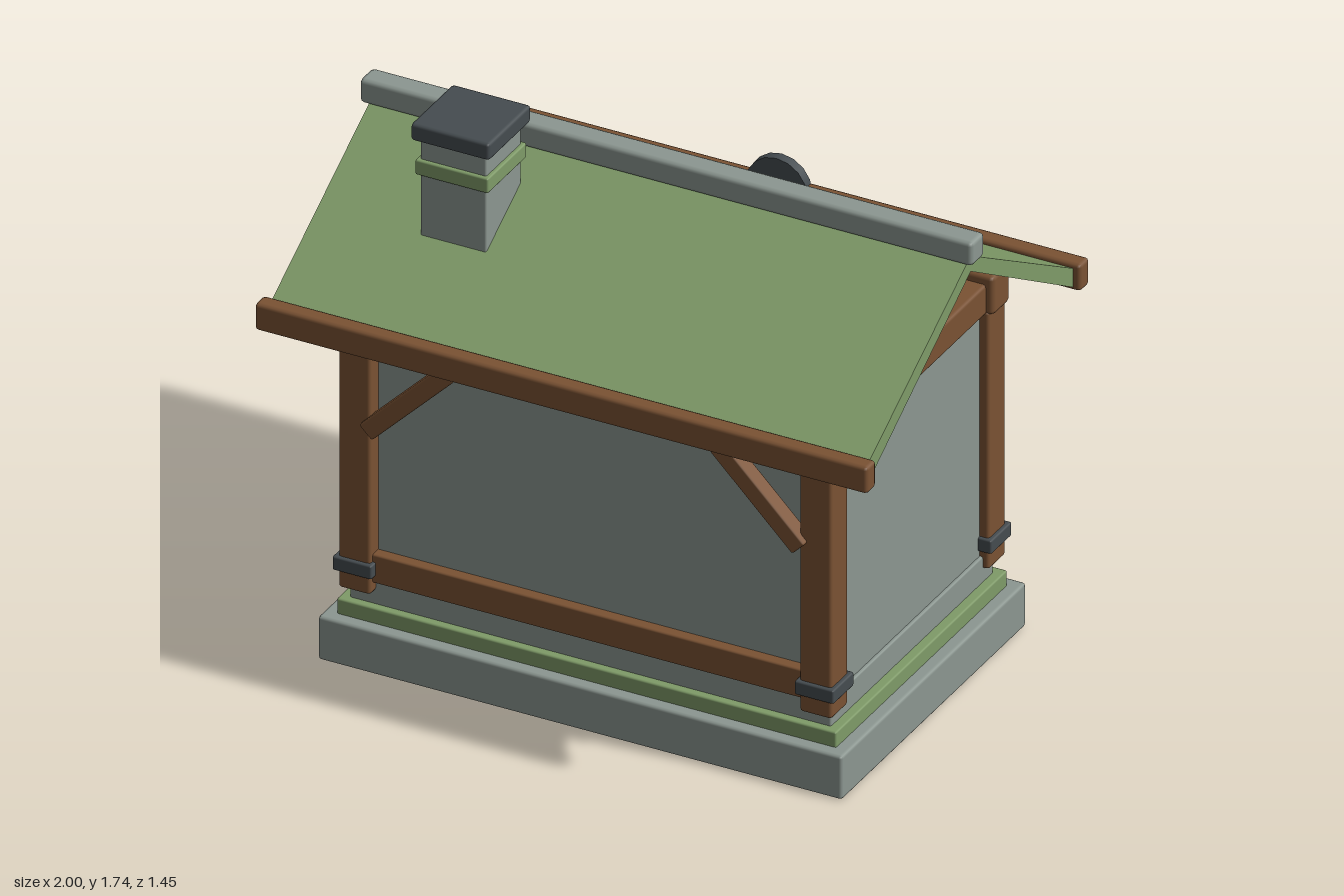
import * as THREE from 'three';
import { RoundedBoxGeometry } from 'three/addons/geometries/RoundedBoxGeometry.js';

const mat = (color) => new THREE.MeshStandardMaterial({ color });

export function createModel() {
  const house = new THREE.Group();
  house.name = 'cottage';
  const stone = mat(0x8c9791), green = mat(0x7f9b68), wood = mat(0x7a5233);
  const iron = mat(0x454c50), amber = mat(0xb0502a);
  const MID = 0.045; // z of the ridge line

  const add = (name, geometry, material, x = 0, y = 0, z = 0) => {
    const mesh = new THREE.Mesh(geometry, material);
    mesh.name = name;
    mesh.position.set(x, y, z);
    house.add(mesh);
    return mesh;
  };
  // Box given by its extents, with softly bevelled edges
  const box = (name, material, [x0, x1], [y0, y1], [z0, z1], bevel = 0.006) => {
    const w = x1 - x0, h = y1 - y0, d = z1 - z0;
    const r = Math.min(bevel, Math.min(w, h, d) * 0.3);
    return add(name, new RoundedBoxGeometry(w, h, d, 1, r), material, (x0 + x1) / 2, (y0 + y1) / 2, (z0 + z1) / 2);
  };
  // Extents mirrored to the other side when s is -1
  const side = (s, a, b) => (s > 0 ? [a, b] : [-b, -a]);
  // Extents measured outward from the ridge line
  const depth = (s, a, b) => (s > 0 ? [MID + a, MID + b] : [MID - b, MID - a]);

  // Base and walls
  box('foundation', stone, [-0.855, 0.855], [0, 0.145], [-0.52, 0.61], 0.01);
  box('mossBand', green, [-0.815, 0.815], [0.14, 0.195], [-0.48, 0.57]);
  box('plinth', stone, [-0.785, 0.785], [0.19, 0.28], [-0.45, 0.545]);
  box('walls', stone, [-0.775, 0.775], [0.27, 1.12], [-0.435, 0.53]);
  box('lowerStep', stone, [-0.225, 0.225], [0.005, 0.055], [-0.725, -0.5]);
  box('stepMoss', green, [-0.2, 0.2], [0.05, 0.085], [-0.69, -0.5]);

  // Timber frame, the same on the front and the back
  for (const f of [1, -1]) {
    box('topPlate', wood, [-0.82, 0.82], [1.09, 1.22], depth(f, 0.43, 0.535), 0.015);
    box('eaveBeam', wood, [-1, 1], [1.12, 1.21], depth(f, 0.625, 0.682), 0.012);
    for (const s of [1, -1]) {
      box('cornerPost', wood, side(s, 0.7, 0.805), [0.24, 1.1], depth(f, 0.43, 0.535), 0.01);
      box('postBand', iron, side(s, 0.69, 0.818), [0.3, 0.346], depth(f, 0.42, 0.547));
      const brace = box('cornerBrace', wood, [-0.19, 0.19], [-0.029, 0.029], depth(f, 0.5, 0.555));
      brace.position.x = s * 0.572;
      brace.position.y = 0.926;
      brace.rotation.z = -s * Math.PI / 4;
    }
  }
  box('frontSill', wood, [-0.71, 0.71], [0.275, 0.37], [0.48, 0.565]);
  for (const s of [1, -1]) {
    box('backSill', wood, side(s, 0.25, 0.71), [0.275, 0.37], [-0.475, -0.4]);
    box('gableBeam', wood, side(s, 0.7, 0.795), [1.09, 1.19], [-0.4, 0.49], 0.01);
  }

  // Roof: one folded sheet with open gables
  const fold = new THREE.Shape([
    [0, 1.56], [-0.655, 1.177], [-0.627, 1.13], [0, 1.508], [0.627, 1.13], [0.655, 1.177],
  ].map(([z, y]) => new THREE.Vector2(z, y)));
  const roof = new THREE.ExtrudeGeometry(fold, { depth: 1.95, bevelEnabled: false });
  roof.translate(0, 0, -0.975).rotateY(Math.PI / 2);
  add('roof', roof, green, 0, 0, MID);
  box('ridgeCap', stone, [-1, 1], [1.547, 1.627], [0.005, 0.085], 0.014);

  // Chimney
  box('chimneyStack', stone, [-0.64, -0.425], [1.1, 1.69], [0.17, 0.385]);
  box('chimneyBand', green, [-0.652, -0.413], [1.565, 1.615], [0.158, 0.397]);
  box('chimneyCap', iron, [-0.662, -0.405], [1.68, 1.737], [0.147, 0.405], 0.01);

  // Door on the back wall
  for (const s of [1, -1]) box('doorJamb', wood, side(s, 0.205, 0.265), [0.26, 1.1], [-0.5, -0.42]);
  box('door', wood, [-0.21, 0.21], [0.26, 0.956], [-0.517, -0.42]);
  for (const y of [0.36, 0.815]) box('doorStrap', iron, [-0.19, 0.19], [y, y + 0.05], [-0.535, -0.5]);
  box('doorBar', iron, [-0.02, 0.02], [0.31, 0.912], [-0.542, -0.5]);
  const disc = (name, material, r, x, y, z0, z1, n = 16) => {
    const geometry = new THREE.CylinderGeometry(r, r, z1 - z0, n).rotateX(Math.PI / 2);
    return add(name, geometry, material, x, y, (z0 + z1) / 2);
  };
  disc('doorKnob', iron, 0.025, 0.13, 0.6, -0.55, -0.5);
  const gem = (name, y, z) => {
    const mesh = add(name, new THREE.SphereGeometry(1, 12, 8), amber, 0, y, z);
    mesh.scale.set(0.024, 0.04, 0.016);
  };
  gem('doorGem', 0.8, -0.552);

  // Roundel on the back eave
  disc('roundelBacking', iron, 0.1, 0, 1.185, -0.627, -0.595);
  disc('roundelFace', stone, 0.073, 0, 1.185, -0.65, -0.61);
  gem('roundelGem', 1.185, -0.652);

  // Windows either side of the door
  for (const s of [1, -1]) {
    const cx = s * 0.515;
    box('windowPane', amber, [cx - 0.14, cx + 0.14], [0.55, 0.87], [-0.465, -0.42]);
    for (const o of [-0.135, 0, 0.135]) {
      const w = o ? 0.018 : 0.012;
      box('windowUpright', iron, [cx + o - w, cx + o + w], [0.54, 0.88], [-0.492, -0.42]);
    }
    for (const y of [0.525, 0.853]) box('windowRail', iron, [cx - 0.168, cx + 0.168], [y, y + 0.038], [-0.502, -0.42]);
  }
  return house;
}
